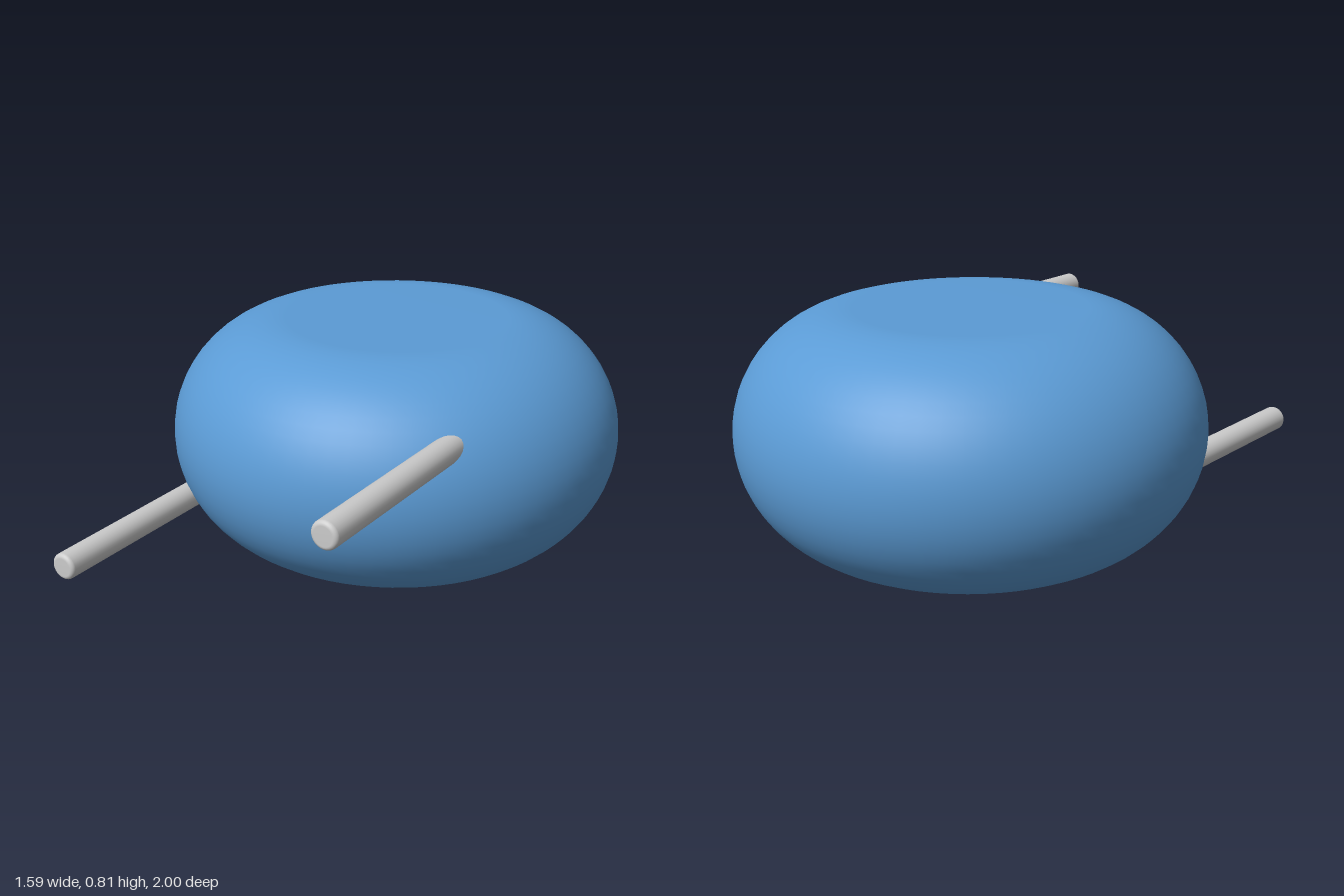
import * as THREE from 'three';

export function createModel() {
  const group = new THREE.Group();
  const blue = new THREE.MeshStandardMaterial({ color: 0x5b9bd5 });
  const grey = new THREE.MeshStandardMaterial({ color: 0xcccccc });

  // Appends a quarter or half arc to a lathe profile
  const arc = (points, cx, cy, r, from, to, steps) => {
    for (let i = 0; i <= steps; i++) {
      const a = from + (to - from) * i / steps;
      points.push(new THREE.Vector2(cx + r * Math.cos(a), cy + r * Math.sin(a)));
    }
  };

  // Rounded disc body with flat top and bottom
  const half = 0.405, flat = 0.39;
  const profile = [new THREE.Vector2(0, -half)];
  arc(profile, flat, 0, half, -Math.PI / 2, Math.PI / 2, 28);
  profile.push(new THREE.Vector2(0, half));
  const body = new THREE.Mesh(new THREE.LatheGeometry(profile, 72), blue);
  body.name = 'body';
  body.position.set(0, half, -0.205);
  group.add(body);

  // Two forward pins with softly rounded tips, sunk into the body
  const radius = 0.045, bevel = 0.014, start = 0.2, length = 1 - start;
  const pinProfile = [new THREE.Vector2(0, 0), new THREE.Vector2(radius, 0)];
  arc(pinProfile, radius - bevel, length - bevel, bevel, 0, Math.PI / 2, 5);
  pinProfile.push(new THREE.Vector2(0, length));
  const pinGeometry = new THREE.LatheGeometry(pinProfile, 24);
  pinGeometry.rotateX(Math.PI / 2);
  for (const [name, x, y] of [['leftPin', 0.497, 0.603], ['rightPin', -0.5, 0.218]]) {
    const pin = new THREE.Mesh(pinGeometry, grey);
    pin.name = name;
    pin.position.set(x, y, start);
    group.add(pin);
  }
  return group;
}
